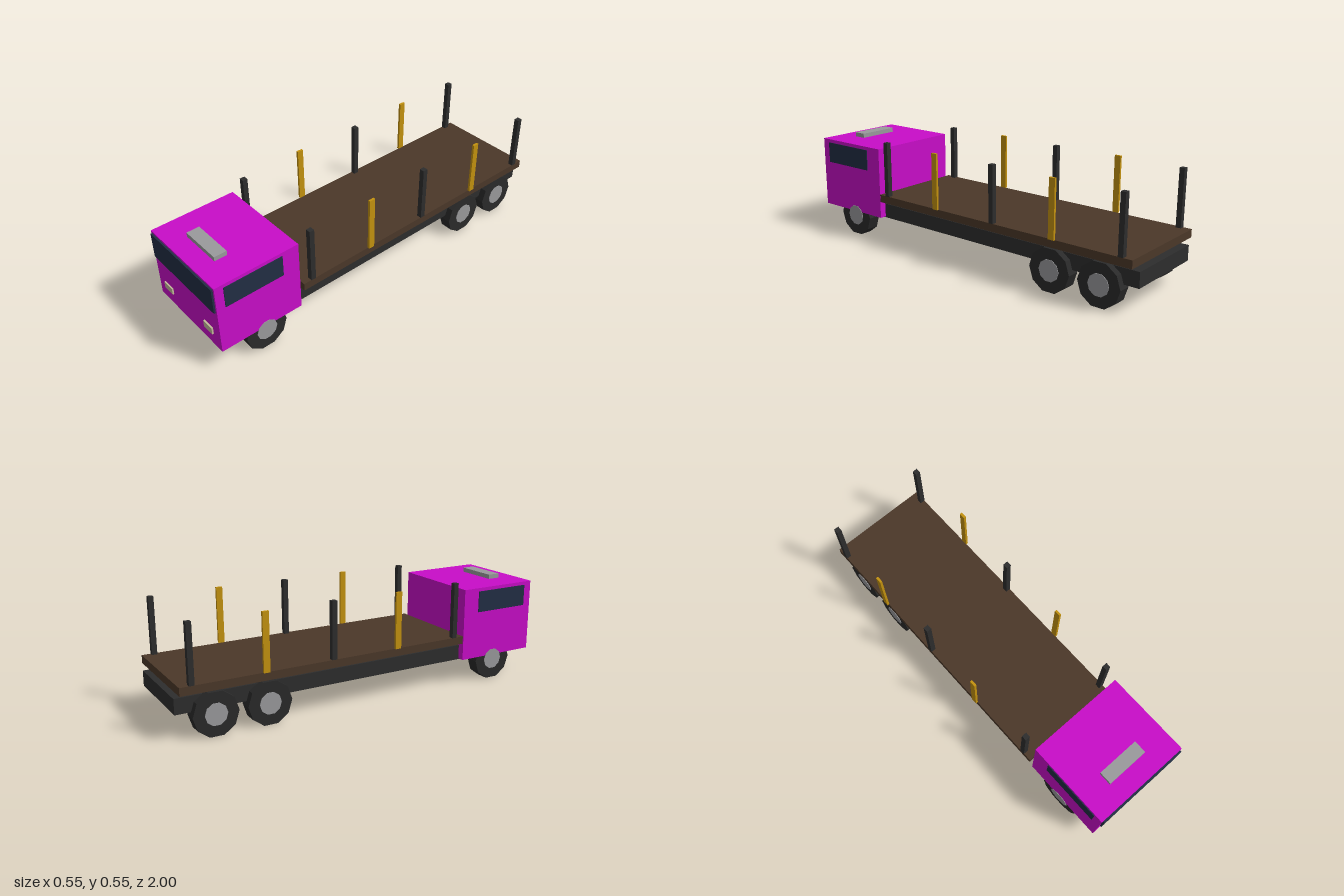
import * as THREE from 'three';

const mat = (name, color) => {
  const m = new THREE.MeshStandardMaterial({ color });
  m.name = name;
  return m;
};

export function createModel() {
  const truck = new THREE.Group();
  truck.name = 'flatbedTruck';

  const paint = mat('magentaPaint', 0xc80dc8);
  const glass = mat('darkGlass', 0x222e44);
  const steel = mat('darkSteel', 0x2d2d2d);
  const rubber = mat('tyreRubber', 0x2a2a2a);
  const metal = mat('greyMetal', 0x9a9a9c);
  const wood = mat('brownWood', 0x4b3829);
  const yellow = mat('yellowPaint', 0xc4920f);
  const lamp = mat('lampGlass', 0xc6ba9c);

  // Box given by its lower and upper limits on each axis
  const box = (name, material, [x0, x1], [y0, y1], [z0, z1], parent = truck) => {
    const mesh = new THREE.Mesh(new THREE.BoxGeometry(x1 - x0, y1 - y0, z1 - z0), material);
    mesh.position.set((x0 + x1) / 2, (y0 + y1) / 2, (z0 + z1) / 2);
    mesh.name = name;
    parent.add(mesh);
    return mesh;
  };
  // Same box on the left (+x) and right (-x) side
  const pair = (name, material, [x0, x1], y, z) => {
    box(name + 'Left', material, [x0, x1], y, z);
    box(name + 'Right', material, [-x1, -x0], y, z);
  };

  // Chassis and load bed
  box('chassis', steel, [-0.22, 0.22], [0.124, 0.2], [-1, 0.595]);
  box('loadBed', wood, [-0.266, 0.266], [0.222, 0.262], [-0.987, 0.537]);

  // Cab with windows, headlights and roof vent
  box('cab', paint, [-0.255, 0.255], [0.128, 0.503], [0.55, 0.991]);
  box('windscreen', glass, [-0.245, 0.245], [0.36, 0.494], [0.991, 1]);
  pair('sideWindow', glass, [0.255, 0.2585], [0.375, 0.485], [0.64, 0.947]);
  pair('headlight', lamp, [0.132, 0.199], [0.198, 0.234], [0.991, 0.999]);
  box('roofVent', metal, [-0.11, 0.11], [0.503, 0.526], [0.826, 0.892]);

  // Stakes along both sides of the bed
  for (const z of [0.482, -0.224, -0.93]) {
    pair('stake', steel, [0.242, 0.268], [0.262, 0.548], [z - 0.013, z + 0.013]);
  }
  for (const z of [0.13, -0.578]) {
    pair('yellowStake', yellow, [0.264, 0.276], [0.262, 0.548], [z - 0.016, z + 0.016]);
  }

  // Ten-sided wheels, flat side down, with hubs showing on both faces
  const drum = (radius, width) =>
    new THREE.CylinderGeometry(radius, radius, width, 10).toNonIndexed().rotateZ(Math.PI / 2);
  const tyreGeometry = drum(0.1105, 0.066);
  const hubGeometry = drum(0.055, 0.072);
  [tyreGeometry, hubGeometry].forEach((g) => g.computeVertexNormals());
  for (const z of [0.75, -0.556, -0.82]) {
    for (const side of [-1, 1]) {
      const wheel = new THREE.Group();
      wheel.name = 'wheel';
      const tyre = new THREE.Mesh(tyreGeometry, rubber);
      tyre.name = 'tyre';
      const hub = new THREE.Mesh(hubGeometry, metal);
      hub.name = 'hub';
      wheel.add(tyre, hub);
      wheel.position.set(side * 0.2215, 0.1051, z);
      truck.add(wheel);
    }
  }

  return truck;
}
